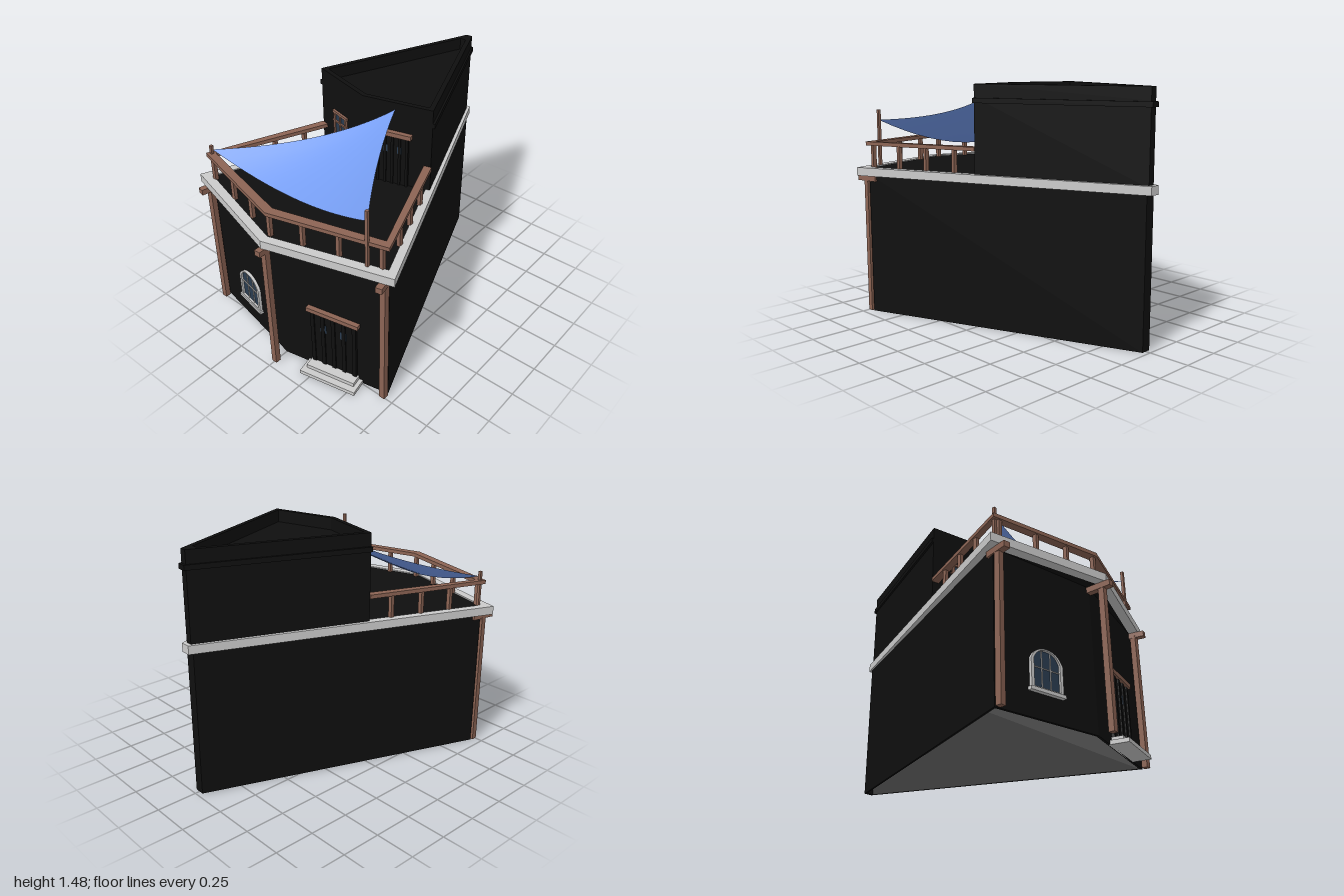
import * as THREE from 'three';

const mat = (color, side = THREE.FrontSide) => new THREE.MeshStandardMaterial({ color, side, flatShading: true });
const black = mat(0x0f0f0f), grey = mat(0xcccccc), wood = mat(0x8c6454), glass = mat(0x2a3c50);
const cloth = new THREE.MeshStandardMaterial({ color: 0x759cf0, side: THREE.DoubleSide });

export function createModel() {
  const model = new THREE.Group();

  const add = (name, geo, material, parent = model) => {
    const mesh = new THREE.Mesh(geo, material);
    mesh.name = name;
    parent.add(mesh);
    return mesh;
  };
  const box = (name, w, h, d, x, y, z, material, parent = model) => {
    const mesh = add(name, new THREE.BoxGeometry(w, h, d), material, parent);
    mesh.position.set(x, y, z);
    return mesh;
  };
  // Five-sided plan: bent facade towards -x, blunt tip towards +x
  const wedge = (apex, cx, cz, tip, tz) => [[apex, 0], [cx, cz], [tip, tz], [tip, -tz], [cx, -cz]];
  const toVecs = (pts) => pts.map(([x, z]) => new THREE.Vector2(x, -z));
  const prism = (name, plan, y0, y1, material, hole) => {
    const shape = new THREE.Shape(toVecs(plan));
    if (hole) shape.holes.push(new THREE.Path(toVecs(hole)));
    const geo = new THREE.ExtrudeGeometry(shape, { depth: y1 - y0, bevelEnabled: false });
    geo.rotateX(-Math.PI / 2).translate(0, y0, 0);
    return add(name, geo, material);
  };
  // Group on a facade: local x runs along the wall, local z points outwards
  const onWall = (name, apex, cx, cz, t) => {
    const g = new THREE.Group();
    g.name = name;
    g.position.set(apex + (cx - apex) * t, 0, cz * t);
    g.rotation.y = Math.atan2(-Math.abs(cz), (cx - apex) * Math.sign(cz));
    model.add(g);
    return g;
  };

  // Ground storey, open underneath
  prism('groundWalls', wedge(-0.85, -0.71, 0.69, 0.97, 0.03), 0, 0.9, black,
    wedge(-0.835, -0.698, 0.672, 0.95, 0.025));

  // Terrace slab with pale trim
  const trimInner = wedge(-0.915, -0.71, 0.685, 0.9, 0.017);
  prism('terraceTrim', wedge(-0.97, -0.75, 0.755, 1.0, 0.03), 0.893, 0.945, grey, trimInner);
  prism('terraceFloor', trimInner, 0.895, 0.938, black);

  // Upper storey with a recessed roof and parapet
  const upper = wedge(-0.11, 0, 0.42, 0.975, 0.02);
  const roofInner = wedge(-0.08, 0.02, 0.38, 0.9, 0.019);
  prism('upperWalls', upper, 0.93, 1.4, black);
  prism('parapet', upper, 1.4, 1.475, black, roofInner);
  prism('sideLedge', [[0, 0.435], [0.99, 0.025], [0.99, -0.025], [0, -0.435]], 1.365, 1.395, black);

  // Posts and short beams under the terrace
  for (const s of [-1, 0, 1]) {
    const px = s ? -0.74 : -0.94, pz = 0.68 * s;
    box('terracePost', 0.036, 0.87, 0.036, px, 0.435, pz, wood);
    const beam = box('terraceBeam', s ? 0.15 : 0.16, 0.036, 0.04, s ? -0.735 : -0.92, 0.873, pz, wood);
    beam.rotation.y = 0.2 * s;
  }

  // Handrail and balusters
  prism('handrail', [[0, 0.425], [-0.725, 0.7], [-0.918, 0], [-0.725, -0.7], [0, -0.425],
    [0, -0.372], [-0.69, -0.65], [-0.862, 0], [-0.69, 0.65], [0, 0.372]], 1.082, 1.106, wood);
  const baluster = (x, z) => box('baluster', 0.024, 0.15, 0.024, x, 1.012, z, wood);
  baluster(-0.89, 0);
  for (const s of [-1, 1]) {
    for (const t of [0.29, 0.6, 0.96]) baluster(-0.89 + 0.18 * t, 0.675 * t * s);
    for (const x of [-0.51, -0.33, -0.145]) baluster(x, (0.4 - 0.385 * x) * s);
  }

  // Sail poles
  box('sailPole', 0.018, 0.36, 0.018, -0.755, 1.12, 0.577, wood);
  box('sailPole', 0.018, 0.22, 0.018, -0.705, 1.05, -0.67, wood);

  // Shade sail: a curved triangle from three corners and three edge midpoints
  const V = (...c) => new THREE.Vector3(...c);
  const A = V(-0.755, 1.235, 0.58), B = V(-0.7, 1.13, -0.67), C = V(-0.06, 1.435, 0.2);
  const control = (mid, p, q) => mid.multiplyScalar(2).addScaledVector(p, -0.5).addScaledVector(q, -0.5);
  const AB = control(V(-0.672, 1.05, -0.05), A, B);
  const AC = control(V(-0.36, 1.295, 0.325), A, C);
  const BC = control(V(-0.34, 1.24, -0.17), B, C);
  const N = 14, pos = [], idx = [];
  const at = (i, j) => i * (i + 1) / 2 + j;
  for (let i = 0; i <= N; i++) {
    for (let j = 0; j <= i; j++) {
      const a = 1 - i / N, c = j / N, b = 1 - a - c;
      const p = V(0, 0, 0).addScaledVector(A, a * a).addScaledVector(B, b * b).addScaledVector(C, c * c)
        .addScaledVector(AB, 2 * a * b).addScaledVector(AC, 2 * a * c).addScaledVector(BC, 2 * b * c);
      pos.push(p.x, p.y, p.z);
      if (i < N) idx.push(at(i, j), at(i + 1, j + 1), at(i + 1, j));
      if (i < N && j < i) idx.push(at(i, j), at(i, j + 1), at(i + 1, j + 1));
    }
  }
  const sail = new THREE.BufferGeometry();
  sail.setAttribute('position', new THREE.Float32BufferAttribute(pos, 3));
  sail.setIndex(idx);
  sail.computeVertexNormals();
  add('shadeSail', sail, cloth);

  // Arched window on the ground facade
  const arch = (w, h, rise, Type) => {
    const p = new Type();
    p.moveTo(-w, 0);
    p.lineTo(w, 0);
    p.lineTo(w, h);
    p.quadraticCurveTo(w * 0.7, h + rise, 0, h + rise);
    p.quadraticCurveTo(-w * 0.7, h + rise, -w, h);
    return p;
  };
  const win = onWall('archedWindow', -0.85, -0.71, -0.69, 0.52);
  const frame = arch(0.11, 0.17, 0.07, THREE.Shape);
  frame.holes.push(new THREE.Path(arch(0.09, 0.155, 0.06, THREE.Path).getPoints(8).map((p) => p.add(new THREE.Vector2(0, 0.018)))));
  const extrude = (shape, depth) => new THREE.ExtrudeGeometry(shape, { depth, bevelEnabled: false, curveSegments: 8 });
  add('windowFrame', extrude(frame, 0.04), grey, win).position.set(0, 0.15, -0.022);
  add('windowPane', extrude(arch(0.1, 0.165, 0.06, THREE.Shape), 0.005), glass, win).position.set(0, 0.155, 0.001);
  for (const x of [-0.03, 0.03]) box('windowBar', 0.006, 0.21, 0.006, x, 0.27, 0.008, grey, win);
  box('windowBar', 0.19, 0.006, 0.006, 0, 0.28, 0.008, grey, win);
  box('windowSill', 0.24, 0.02, 0.035, 0, 0.15, 0.008, grey, win);

  // Panelled doors with wooden lintels
  const door = (g, w, y0, h, lintel) => {
    box('doorLeaf', w, h, 0.03, 0, y0 + h / 2, -0.005, black, g);
    for (let i = 0; i < 5; i++) box('doorSlat', w * 0.08, h, 0.045, w * (i / 4 - 0.5) * 0.92, y0 + h / 2, -0.005, black, g);
    for (const x of [-0.22, 0.22]) box('doorPane', w * 0.13, h * 0.14, 0.034, x * w, y0 + h * 0.72, -0.003, glass, g);
    box('doorLintel', lintel, 0.028, 0.06, 0, y0 + h + 0.012, 0.0, wood, g);
  };
  const entrance = onWall('entrance', -0.85, -0.71, 0.69, 0.5);
  door(entrance, 0.3, 0.05, 0.4, 0.34);
  box('lowerStep', 0.37, 0.025, 0.12, 0, 0.0125, 0.05, grey, entrance);
  box('upperStep', 0.32, 0.025, 0.08, 0, 0.0375, 0.03, grey, entrance);
  door(onWall('terraceDoor', -0.11, 0, 0.42, 0.45), 0.2, 0.938, 0.33, 0.24);

  // Wooden window on the upper facade
  const upperWin = onWall('upperWindow', -0.11, 0, -0.42, 0.53);
  box('windowPane', 0.12, 0.15, 0.01, 0, 1.165, 0, glass, upperWin);
  for (const x of [-0.06, 0, 0.06]) box('windowUpright', x ? 0.016 : 0.01, 0.17, 0.026, x, 1.165, 0, wood, upperWin);
  for (const y of [-0.08, 0.02, 0.08]) box('windowRail', 0.15, y === 0.02 ? 0.01 : 0.016, 0.03, 0, 1.165 + y, 0, wood, upperWin);

  return model;
}
